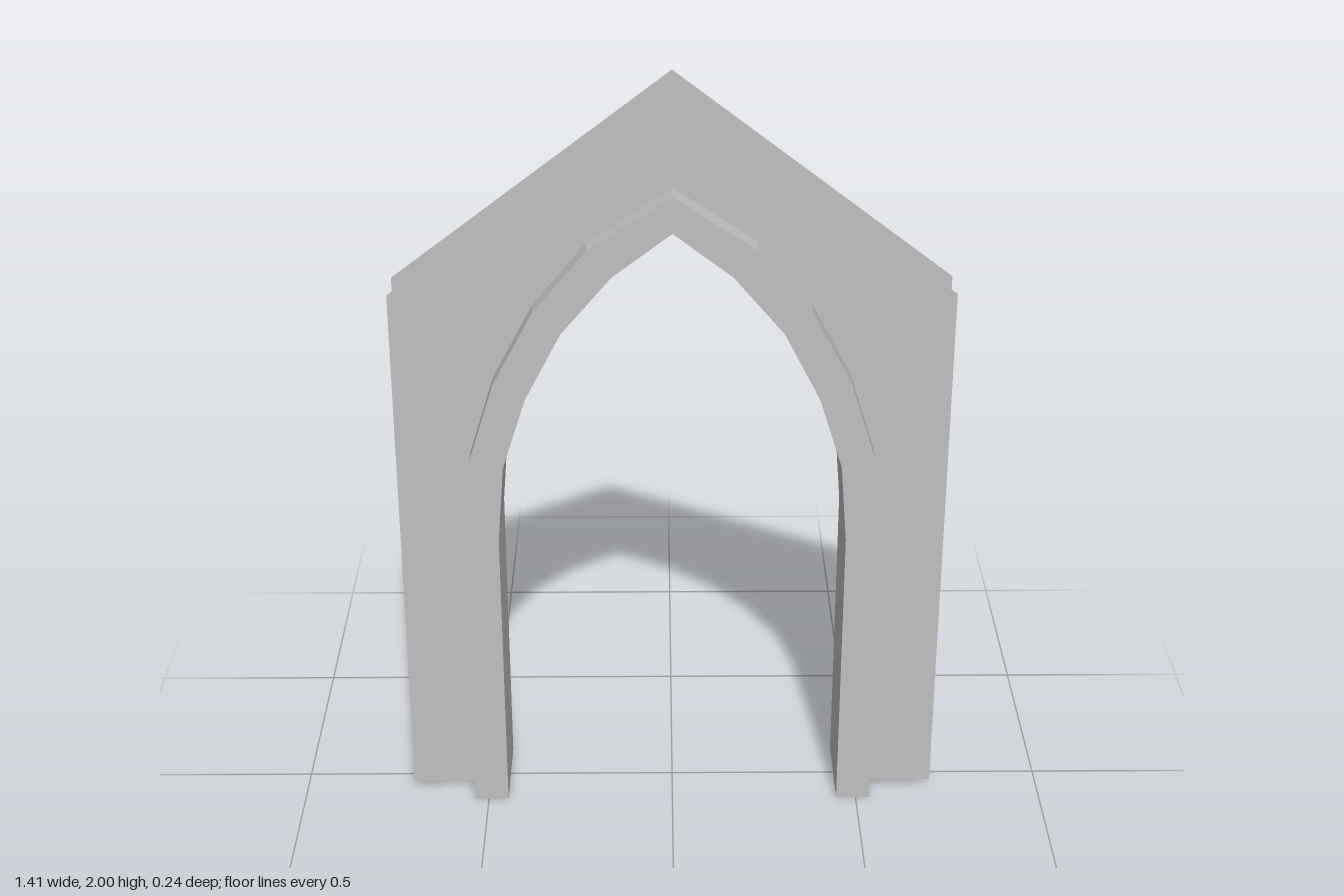
import * as THREE from 'three';

const DEPTH = 0.24;   // arch moulding thickness
const PANEL_Z = 0.058; // offset of each wall sheet from the middle

// Half profiles from the foot up to the apex
const OUTER = [[0.537, 0], [0.537, 0.8], [0.515, 1.03], [0.45, 1.24], [0.347, 1.435], [0.21, 1.6], [0, 1.74]];
const INNER = [[0.447, 0], [0.447, 0.8], [0.43, 1.01], [0.37, 1.2], [0.277, 1.38], [0.15, 1.53], [0, 1.645]];
const GABLE = [[0.707, 0.015], [0.707, 1.46], [0, 2]];

// Mirror a half profile into a full run from right foot to left foot
const mirror = (half) => [
  ...half,
  ...half.slice(0, -1).reverse().map(([x, y]) => [-x, y]),
];

// Band enclosed between an outer and an inner run
const band = (outer, inner) => new THREE.Shape(
  [...mirror(outer), ...mirror(inner).reverse()].map(([x, y]) => new THREE.Vector2(x, y)),
);

export function createModel() {
  const group = new THREE.Group();
  group.name = 'pointedArch';
  const stone = new THREE.MeshStandardMaterial({ color: 0xc0c0c0, side: THREE.DoubleSide });
  stone.name = 'greyStone';

  // Projecting arch moulding
  const archGeometry = new THREE.ExtrudeGeometry(band(OUTER, INNER), { depth: DEPTH, bevelEnabled: false });
  archGeometry.translate(0, 0, -DEPTH / 2);
  const arch = new THREE.Mesh(archGeometry, stone);
  arch.name = 'archMoulding';
  group.add(arch);

  // Gabled wall sheets, front and back, open along the rim
  const panelOpening = OUTER.map(([x, y]) => [x, Math.max(y, 0.015)]);
  const panelGeometry = new THREE.ShapeGeometry(band(GABLE, panelOpening));
  for (const [name, turn, z] of [['frontWall', 0, PANEL_Z], ['backWall', Math.PI, -PANEL_Z]]) {
    const panel = new THREE.Mesh(panelGeometry, stone);
    panel.name = name;
    panel.rotation.y = turn;
    panel.position.z = z;
    group.add(panel);
  }
  return group;
}
